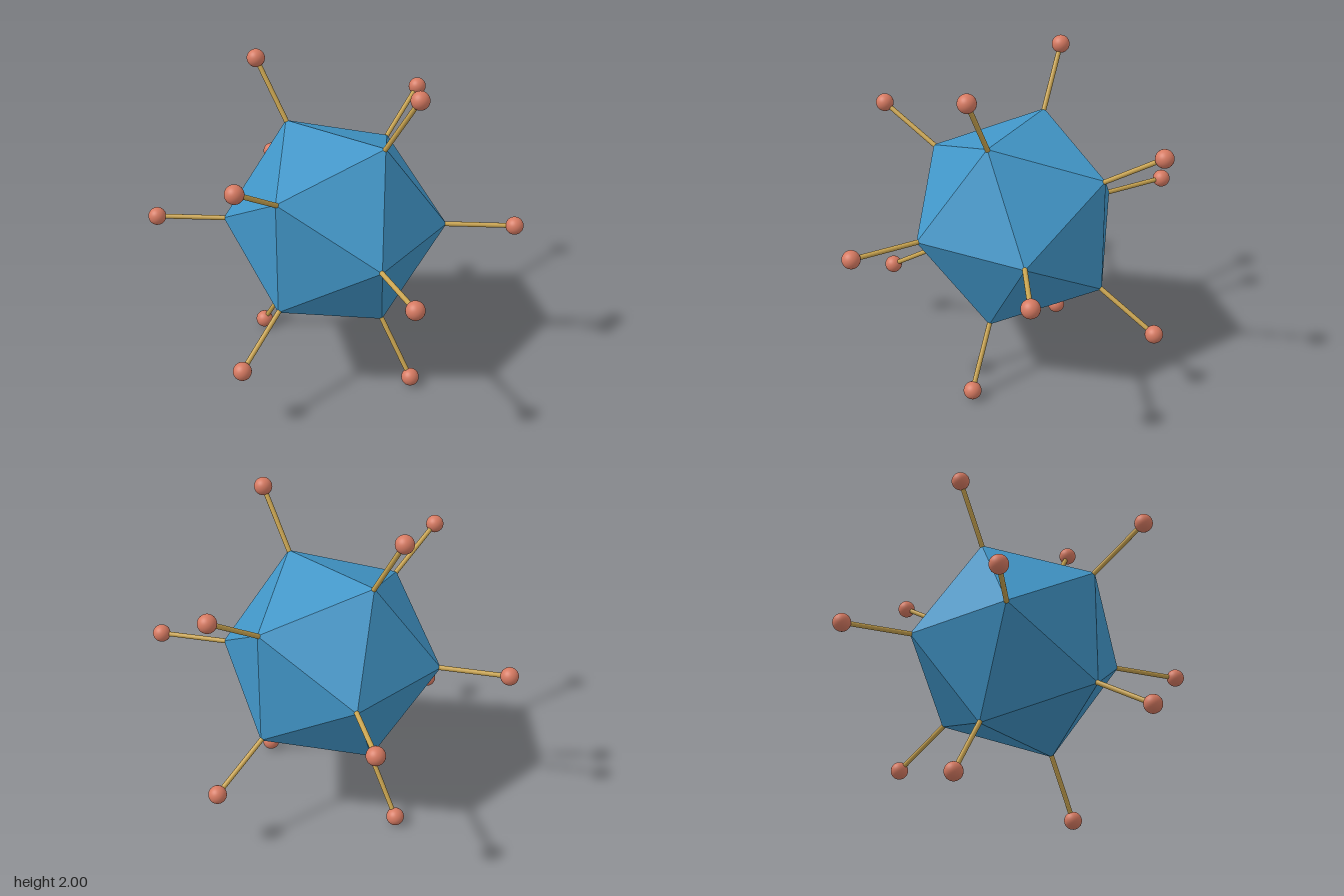
import * as THREE from 'three';

const CORE_R = 0.692, BALL_DIST = 1.11, BALL_R = 0.0555, ROD_R = 0.015;

export function createModel() {
  const group = new THREE.Group();
  const blue = new THREE.MeshStandardMaterial({ name: 'blue', color: 0x4196c8, flatShading: true });
  const gold = new THREE.MeshStandardMaterial({ name: 'gold', color: 0xc9a450 });
  const coral = new THREE.MeshStandardMaterial({ name: 'coral', color: 0xd67a62 });

  const add = (name, geometry, material) => {
    const mesh = new THREE.Mesh(geometry, material);
    mesh.name = name;
    group.add(mesh);
    return mesh;
  };

  // faceted twenty-sided core
  add('core', new THREE.IcosahedronGeometry(CORE_R, 0), blue).position.y = 1;

  // the twelve corner directions: cyclic permutations of (±1, ±golden ratio, 0)
  const t = (1 + Math.sqrt(5)) / 2;
  const directions = [];
  for (const a of [-1, 1]) for (const b of [-t, t]) {
    directions.push([a, b, 0], [0, a, b], [b, 0, a]);
  }

  // a rod and a ball on every corner
  const start = CORE_R - 0.01;
  const rodGeo = new THREE.CylinderGeometry(ROD_R, ROD_R, BALL_DIST - start, 16);
  const ballGeo = new THREE.SphereGeometry(BALL_R, 32, 20);
  const up = new THREE.Vector3(0, 1, 0);
  const centre = new THREE.Vector3(0, 1, 0);
  for (const d of directions) {
    const dir = new THREE.Vector3(...d).normalize();
    const rod = add('rod', rodGeo, gold);
    rod.quaternion.setFromUnitVectors(up, dir);
    rod.position.copy(centre).addScaledVector(dir, (start + BALL_DIST) / 2);
    add('ball', ballGeo, coral).position.copy(centre).addScaledVector(dir, BALL_DIST);
  }
  return group;
}
